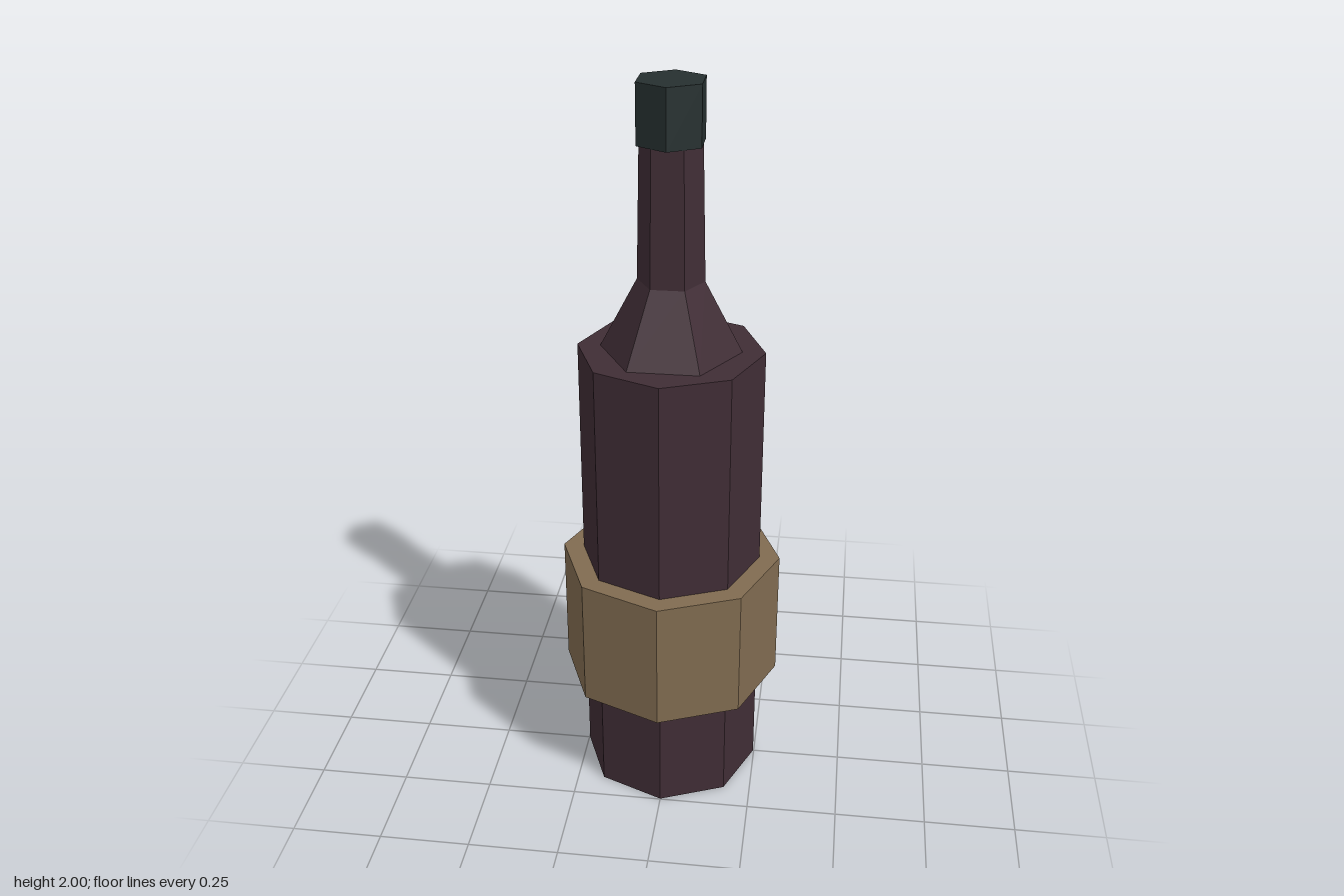
import * as THREE from 'three';

const material = (color) => new THREE.MeshStandardMaterial({ color, flatShading: true });

// Faceted upright prism or frustum between two heights
function prism(name, mat, sides, rBottom, rTop, y0, y1, turn = 0) {
  const geometry = new THREE.CylinderGeometry(rTop, rBottom, y1 - y0, sides, 1, false, turn);
  const mesh = new THREE.Mesh(geometry, mat);
  mesh.name = name;
  mesh.position.y = (y0 + y1) / 2;
  return mesh;
}

export function createModel() {
  const group = new THREE.Group();
  group.name = 'bottle';
  const glass = material(0x402d35);
  const paper = material(0x806b50);
  const foil = material(0x263030);
  const hexTurn = Math.PI / 6; // puts hexagon corners on the x axis

  group.add(
    // Octagonal body with a wide band around it
    prism('body', glass, 8, 0.248, 0.248, 0, 1.3),
    prism('labelBand', paper, 8, 0.304, 0.304, 0.316, 0.682),
    // Hexagonal shoulder and slightly tapered neck
    prism('shoulder', glass, 6, 0.187, 0.088, 1.3, 1.49, hexTurn),
    prism('neck', glass, 6, 0.088, 0.08, 1.49, 1.86, hexTurn),
    // Cap, with its corners on the z axis
    prism('cap', foil, 6, 0.093, 0.093, 1.846, 2)
  );
  return group;
}
